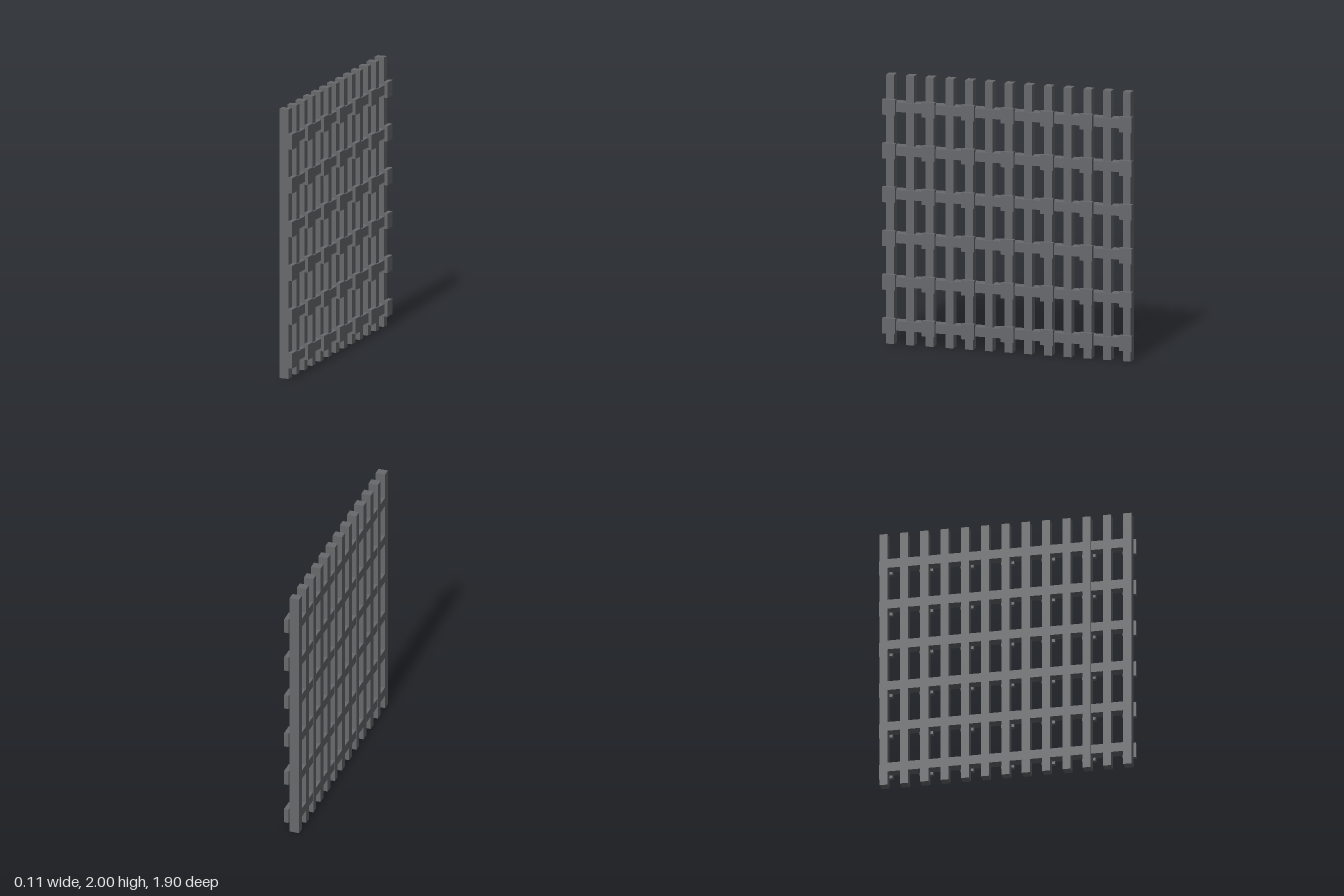
import * as THREE from 'three';

export function createModel() {
  const group = new THREE.Group();
  group.name = 'latticeGate';
  const iron = new THREE.MeshStandardMaterial({ color: 0x67696c });
  iron.name = 'dark iron';

  // Box spanning x0..x1, centred on y and z
  const addBox = (name, x0, x1, height, depth, y, z) => {
    const mesh = new THREE.Mesh(new THREE.BoxGeometry(x1 - x0, height, depth), iron);
    mesh.name = name;
    mesh.position.set((x0 + x1) / 2, y, z);
    group.add(mesh);
  };

  // Upright bars
  for (let i = -6; i <= 6; i++) {
    addBox('uprightBar', -0.055, 0.017, 2, 0.06, 1, i * 0.15);
  }

  // Cross rails, with a square plate over every second bar
  for (let row = 0; row < 6; row++) {
    const y = 0.14 + row * 0.325;
    addBox('crossRail', -0.054, 0.029, 0.07, 1.85, y, 0);
    for (let i = -3; i <= 3; i++) {
      addBox('jointPlate', 0.019, 0.053, 0.114, 0.098, y, i * 0.3);
    }
  }
  return group;
}
